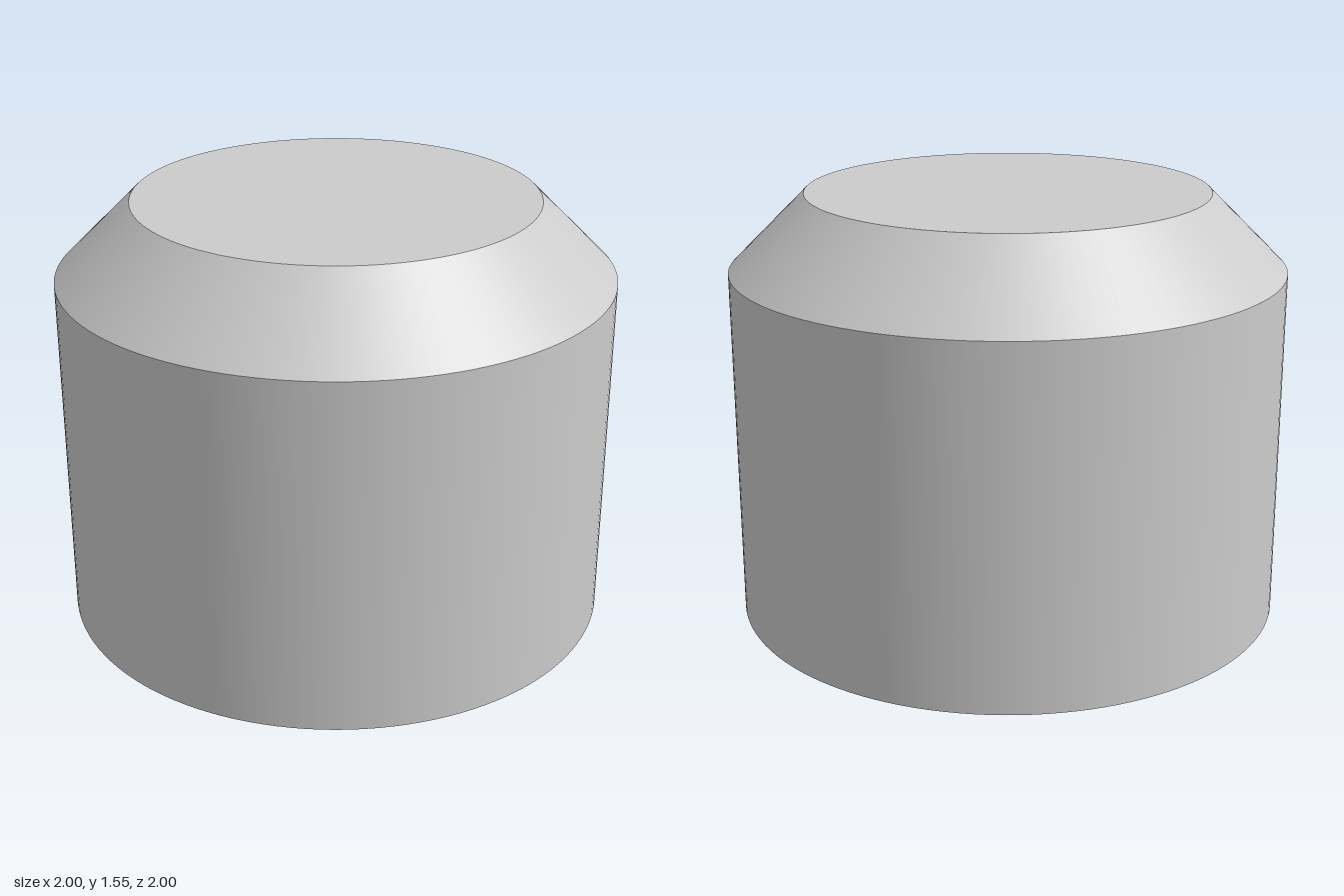
import * as THREE from 'three';

const SEGMENTS = 128;
const RADIUS = 1;
const TOP_RADIUS = 0.725;
const SHOULDER_Y = 1.28;
const TOP_Y = 1.553;

export function createModel() {
  const group = new THREE.Group();
  group.name = 'chamferedCylinder';
  const material = new THREE.MeshStandardMaterial({ color: 0xcccccc });

  function addPart(name, geometry, y) {
    const mesh = new THREE.Mesh(geometry, material);
    mesh.name = name;
    mesh.position.y = y;
    group.add(mesh);
  }

  // Open wall between two heights, with crisp edges where it meets its neighbours
  function addWall(name, bottomRadius, topRadius, y0, y1) {
    const wall = new THREE.CylinderGeometry(topRadius, bottomRadius, y1 - y0, SEGMENTS, 1, true);
    addPart(name, wall, (y0 + y1) / 2);
  }

  // Flat disc facing up (1) or down (-1)
  function addDisc(name, radius, y, facing) {
    const disc = new THREE.CircleGeometry(radius, SEGMENTS).rotateX(-facing * Math.PI / 2);
    addPart(name, disc, y);
  }

  addDisc('base', RADIUS, 0, -1);
  addWall('body', RADIUS, RADIUS, 0, SHOULDER_Y);
  addWall('chamfer', RADIUS, TOP_RADIUS, SHOULDER_Y, TOP_Y);
  addDisc('topFace', TOP_RADIUS, TOP_Y, 1);

  return group;
}
